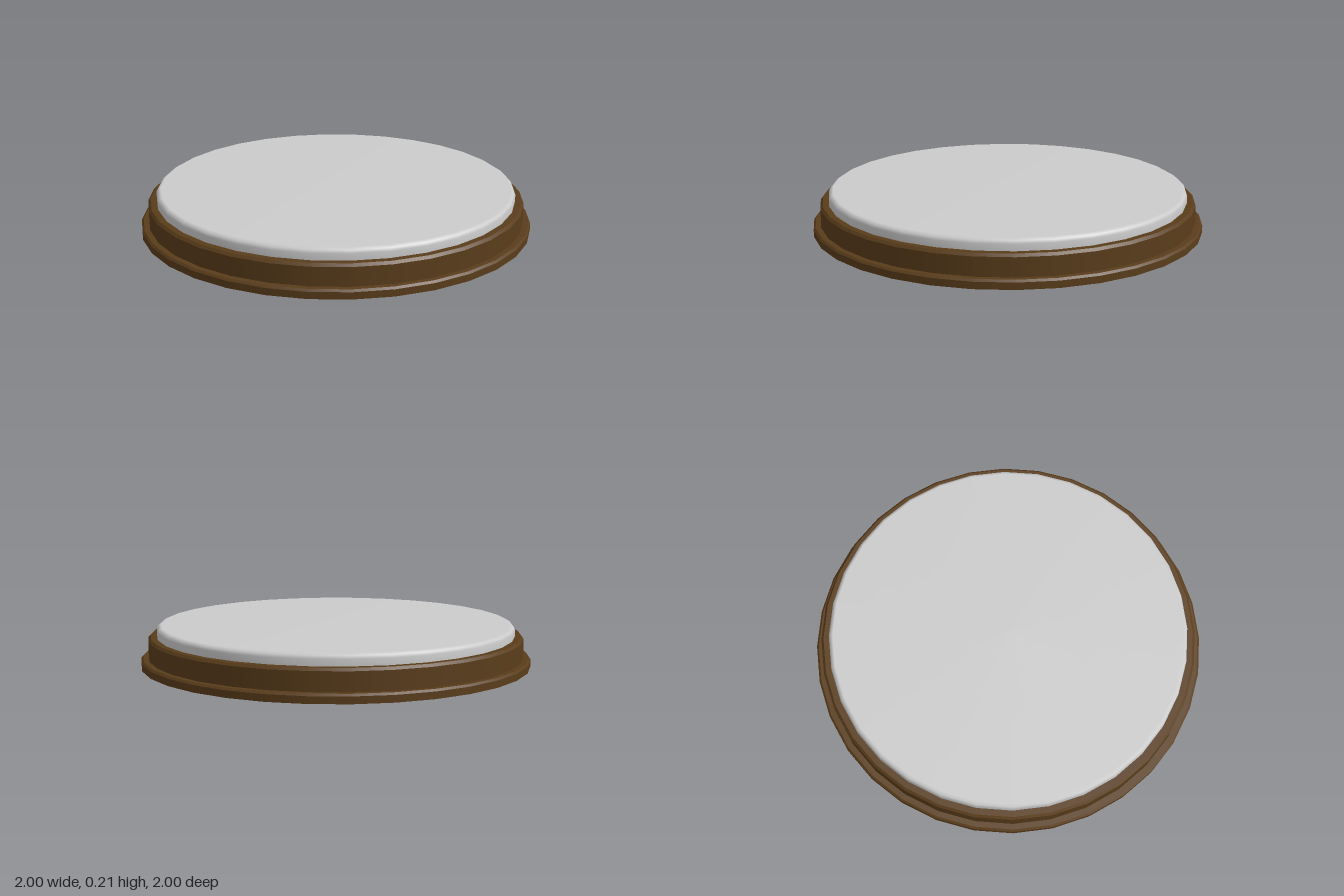
import * as THREE from 'three';

const SIDES = 32;

// Revolve [radius, height] points, listed from the bottom up.
// With hard = true each point is doubled, which keeps every edge crisp.
function turned(name, profile, color, hard) {
  const points = [];
  profile.forEach(([r, y], i) => {
    points.push(new THREE.Vector2(r, y));
    if (hard && i > 0 && i < profile.length - 1) points.push(new THREE.Vector2(r, y));
  });
  const mesh = new THREE.Mesh(
    new THREE.LatheGeometry(points, SIDES),
    new THREE.MeshStandardMaterial({ color })
  );
  mesh.name = name;
  return mesh;
}

export function createModel() {
  const model = new THREE.Group();
  model.name = 'roundPlinth';

  // Wooden base: foot flange, upright wall and a narrow bevelled rim
  model.add(turned('woodenBase', [
    [0, 0], [1, 0], [1, 0.035], [0.99, 0.045], [0.962, 0.045],
    [0.962, 0.14], [0.95, 0.153], [0, 0.153],
  ], 0x5a3d1b, true));

  // Grey disc on top with a softly rounded edge
  model.add(turned('topDisc', [
    [0.918, 0.15], [0.918, 0.186], [0.911, 0.2], [0.895, 0.21], [0, 0.21],
  ], 0xcccccc, false));

  return model;
}
